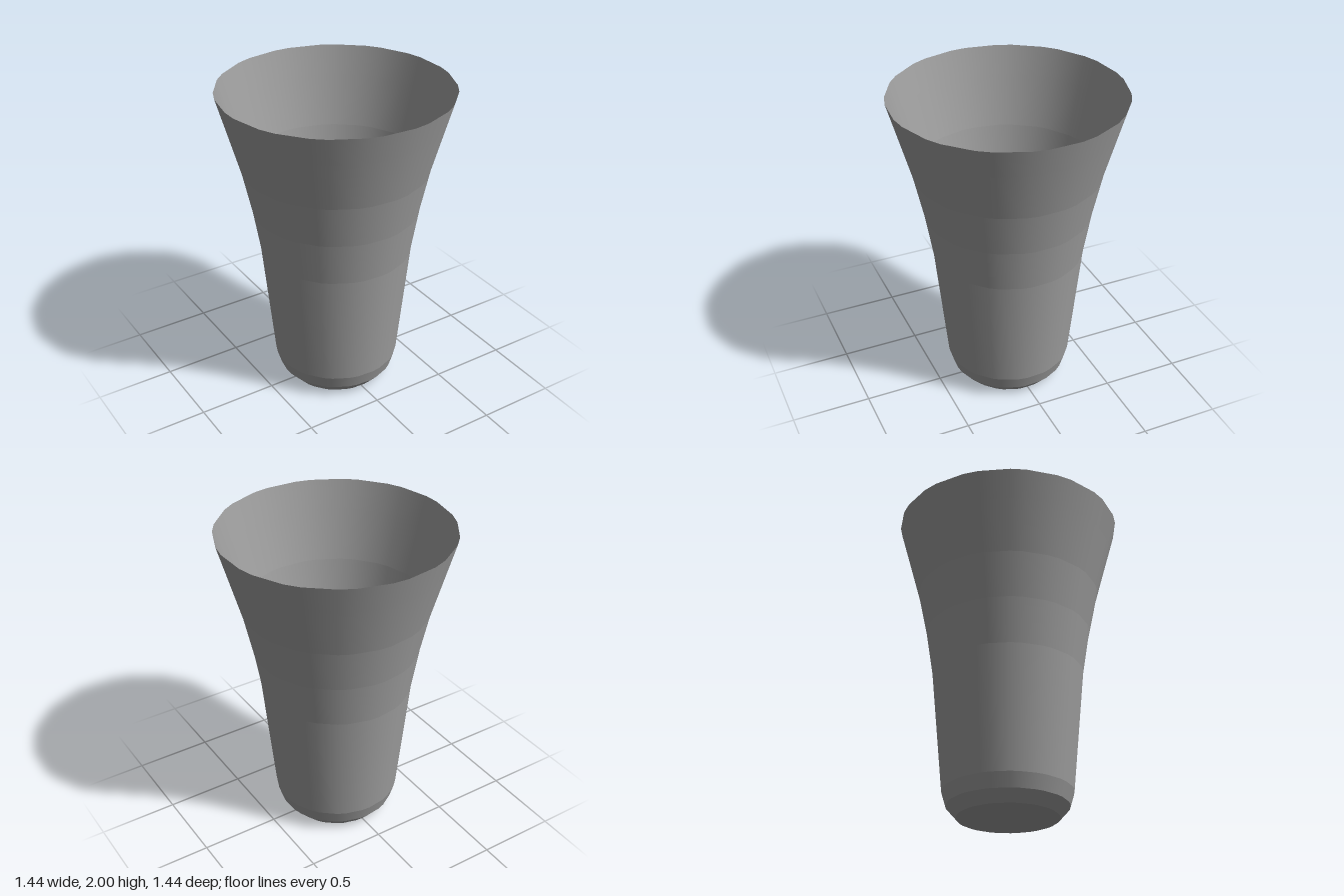
import * as THREE from 'three';

const SIDES = 30;
const STEP = (Math.PI * 2) / SIDES;
const UP = new THREE.Vector3(0, 1, 0);

// Turns every second column a little, giving alternating narrow and wide facets
function alternateFacets(geometry) {
  const { position, normal } = geometry.attributes;
  const p = new THREE.Vector3(), n = new THREE.Vector3();
  for (let i = 0; i < position.count; i++) {
    p.fromBufferAttribute(position, i);
    n.fromBufferAttribute(normal, i);
    const column = Math.round(Math.atan2(p.x, -p.z) / STEP);
    if (column % 2 === 0) continue;
    p.applyAxisAngle(UP, STEP / 3);
    n.applyAxisAngle(UP, STEP / 3);
    position.setXYZ(i, p.x, p.y, p.z);
    normal.setXYZ(i, n.x, n.y, n.z);
  }
  return geometry;
}

export function createModel() {
  const group = new THREE.Group();
  group.name = 'cup';
  const material = new THREE.MeshStandardMaterial({ color: 0x9e9e9e, side: THREE.DoubleSide });

  // Thin wall profile from the centre of the base to the rim: radius, height
  const profile = [
    [0, 0], [0.313, 0], [0.375, 0.07], [0.402, 0.16], [0.477, 0.935],
    [0.523, 1.22], [0.582, 1.5], [0.67, 1.82], [0.72, 2],
  ].map(([r, y]) => new THREE.Vector2(r, y));
  const names = ['base', 'lowerBevel', 'upperBevel', 'lowerWall',
    'middleWall', 'upperWall', 'flare', 'rim'];

  // One band per profile step: smooth around, creased between bands
  names.forEach((name, i) => {
    const band = new THREE.LatheGeometry([profile[i], profile[i + 1]], SIDES, Math.PI);
    const mesh = new THREE.Mesh(alternateFacets(band), material);
    mesh.name = name;
    // The uneven facets reach a little less far to +x and +z, so centre them
    mesh.position.set(0.003, 0, 0.003);
    group.add(mesh);
  });
  return group;
}
